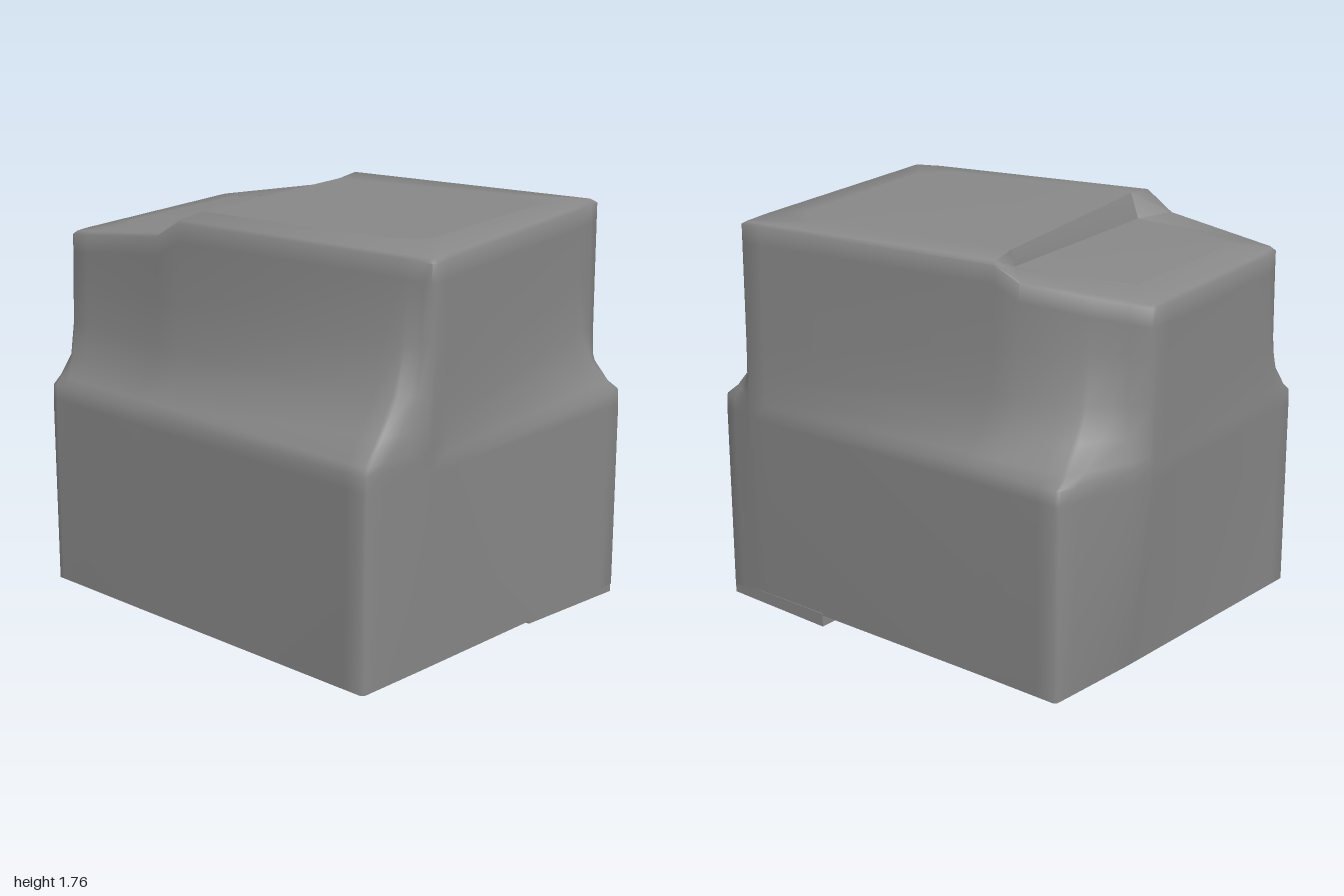
import * as THREE from 'three';
import { toCreasedNormals } from 'three/addons/utils/BufferGeometryUtils.js';

const material = new THREE.MeshStandardMaterial({ color: 0x888888 });

// Columns run anticlockwise seen from above, starting at the front +x corner.
// base, mid, top: [x, z] of the outline at three levels; inner: [x, z] on the roof;
// edge, roof: heights of the roof's rim and flat; ease delays the shoulder;
// step columns stay sharp.
const columns = [
  { base: [0.965, 0.835], mid: [0.97, 0.835], top: [0.88, 0.505], inner: [0.67, 0.39], edge: 1.735, roof: 1.757, ease: 2.2 },
  { base: [0.965, 0.48], mid: [0.99, 0.48], top: [1.0, 0.48], inner: [0.8, 0.28], edge: 1.73, roof: 1.755 },
  { base: [0.955, -0.81], mid: [0.955, -0.81], top: [0.815, -0.67], inner: [0.68, -0.57], edge: 1.74, roof: 1.75 },
  { base: [0.78, -0.805], mid: [0.78, -0.835], top: [0.78, -0.842], inner: [0.52, -0.67], edge: 1.745, roof: 1.75 },
  { base: [-0.4, -0.8], mid: [-0.4, -0.8], top: [-0.43, -0.63], inner: [-0.365, -0.45], edge: 1.738, roof: 1.74, step: true },
  { base: [-0.54, -0.8], mid: [-0.54, -0.8], top: [-0.54, -0.61], inner: [-0.375, -0.44], edge: 1.68, roof: 1.67, step: true },
  { base: [-0.893, -0.803], mid: [-0.893, -0.803], top: [-0.78, -0.48], inner: [-0.58, -0.32], edge: 1.638, roof: 1.648 },
  { base: [-0.9, -0.34], mid: [-1.0, -0.34], top: [-1.0, -0.34], inner: [-0.82, -0.24], edge: 1.6, roof: 1.628 },
  { base: [-0.882, 0.822], mid: [-0.882, 0.822], top: [-0.885, 0.62], inner: [-0.76, 0.45], edge: 1.6, roof: 1.632 },
  { base: [-0.8, 0.822], mid: [-0.8, 0.822], top: [-0.86, 0.7], inner: [-0.7, 0.53], edge: 1.602, roof: 1.635 },
  { base: [-0.33, 0.827], mid: [-0.33, 0.827], top: [-0.32, 0.7], inner: [-0.24, 0.55], edge: 1.672, roof: 1.655, step: true },
  { base: [-0.17, 0.827], mid: [-0.17, 0.827], top: [-0.18, 0.707], inner: [-0.2, 0.55], edge: 1.75, roof: 1.762, step: true },
];

// Soften every corner of a ring except those at the step: a small cut and a support point each side
function softenCorners(points) {
  const n = points.length;
  return points.flatMap((p, i) => {
    if (columns[i].step) return [p];
    const towards = (q, size, most) => p.clone().lerp(q, Math.min(most, size / p.distanceTo(q)));
    const before = points[(i + n - 1) % n], after = points[(i + 1) % n];
    return [towards(before, 0.1, 0.4), towards(before, 0.012, 0.1), towards(after, 0.012, 0.1), towards(after, 0.1, 0.4)];
  });
}

// Outline ring: t moves it from the lower block to the turned upper block
const ring = (height, t, from = 'mid') => softenCorners(columns.map((c) => {
  const k = t ** (c.ease ?? 1);
  return new THREE.Vector3(
    THREE.MathUtils.lerp(c[from][0], c.top[0], k),
    height(c),
    THREE.MathUtils.lerp(c[from][1], c.top[1], k));
}));
const level = (y) => () => y;
const belowRim = (d) => (c) => c.edge - d;

const roofRing = softenCorners(columns.map((c) => new THREE.Vector3(c.inner[0], c.roof, c.inner[1])));
const rimRing = ring(belowRim(0), 1).map((p, i) => p.lerp(roofRing[i], 0.08));

// Sides, shoulder, rounded rim and underside
function bodyGeometry() {
  const rings = [
    ring(level(0.05), 0, 'base'), ring(level(0.88), 0), ring(level(0.945), 0.02), ring(level(0.98), 0.25),
    ring(level(1.07), 0.62), ring(level(1.2), 0.86), ring(level(1.4), 0.95),
    ring(belowRim(0.09), 1), ring(belowRim(0.012), 1), rimRing, roofRing,
  ];
  const n = roofRing.length;
  const index = [];
  for (let r = 0; r < rings.length - 1; r++) {
    for (let i = 0; i < n; i++) {
      const a = r * n + i, b = r * n + (i + 1) % n;
      index.push(a, b, b + n, a, b + n, a + n);
    }
  }
  for (let i = 1; i < n - 1; i++) index.push(0, i + 1, i);
  const geometry = new THREE.BufferGeometry().setFromPoints(rings.flat());
  geometry.setIndex(index);
  return toCreasedNormals(geometry, 1.15);
}

function addMesh(parent, name, geometry) {
  const mesh = new THREE.Mesh(geometry, material);
  mesh.name = name;
  parent.add(mesh);
}

// Flat facet closing part of the roof, as a fan of its outline points
function facet(points) {
  const geometry = new THREE.BufferGeometry().setFromPoints(points);
  const index = [];
  for (let i = 1; i < points.length - 1; i++) index.push(0, i, i + 1);
  geometry.setIndex(index);
  geometry.computeVertexNormals();
  return geometry;
}

// Thin slab under the body; drop(x, z) gives the height of its lower face
function slab(x0, x1, z0, z1, drop) {
  const geometry = new THREE.BoxGeometry(x1 - x0, 0.02, z1 - z0);
  geometry.translate((x0 + x1) / 2, 0, (z0 + z1) / 2);
  const p = geometry.attributes.position;
  for (let i = 0; i < p.count; i++) p.setY(i, p.getY(i) > 0 ? 0.06 : drop(p.getX(i), p.getZ(i)));
  geometry.computeVertexNormals();
  return geometry;
}

export function createModel() {
  const model = new THREE.Group();
  model.name = 'stoneBlock';
  addMesh(model, 'body', bodyGeometry());

  // Roof in two levels with a step wall between
  const last = roofRing.length - 1;
  const stepBack = 16;
  addMesh(model, 'highRoof', facet([roofRing[last], ...roofRing.slice(0, stepBack + 1)]));
  addMesh(model, 'lowRoof', facet(roofRing.slice(stepBack + 1, last)));
  addMesh(model, 'stepWall', facet([stepBack, stepBack + 1, last - 1, last].map((i) => roofRing[i])));

  // Tilted foot at the back +x corner
  addMesh(model, 'foot', slab(0.4, 0.945, -0.807, -0.23,
    (x, z) => 0.01 * (x - 0.4) / 0.545 + 0.018 * (z + 0.807) / 0.577));

  // Flat paving under the rest
  const underside = new THREE.Group();
  underside.name = 'underside';
  const panels = [
    [0.4, 0.945, -0.21, 0.24], [0.4, 0.945, 0.26, 0.815],
    [-0.875, 0.38, -0.79, 0.02], [-0.875, 0.38, 0.04, 0.81],
  ];
  for (const p of panels) addMesh(underside, 'panel', slab(...p, () => 0.046));
  model.add(underside);
  return model;
}
